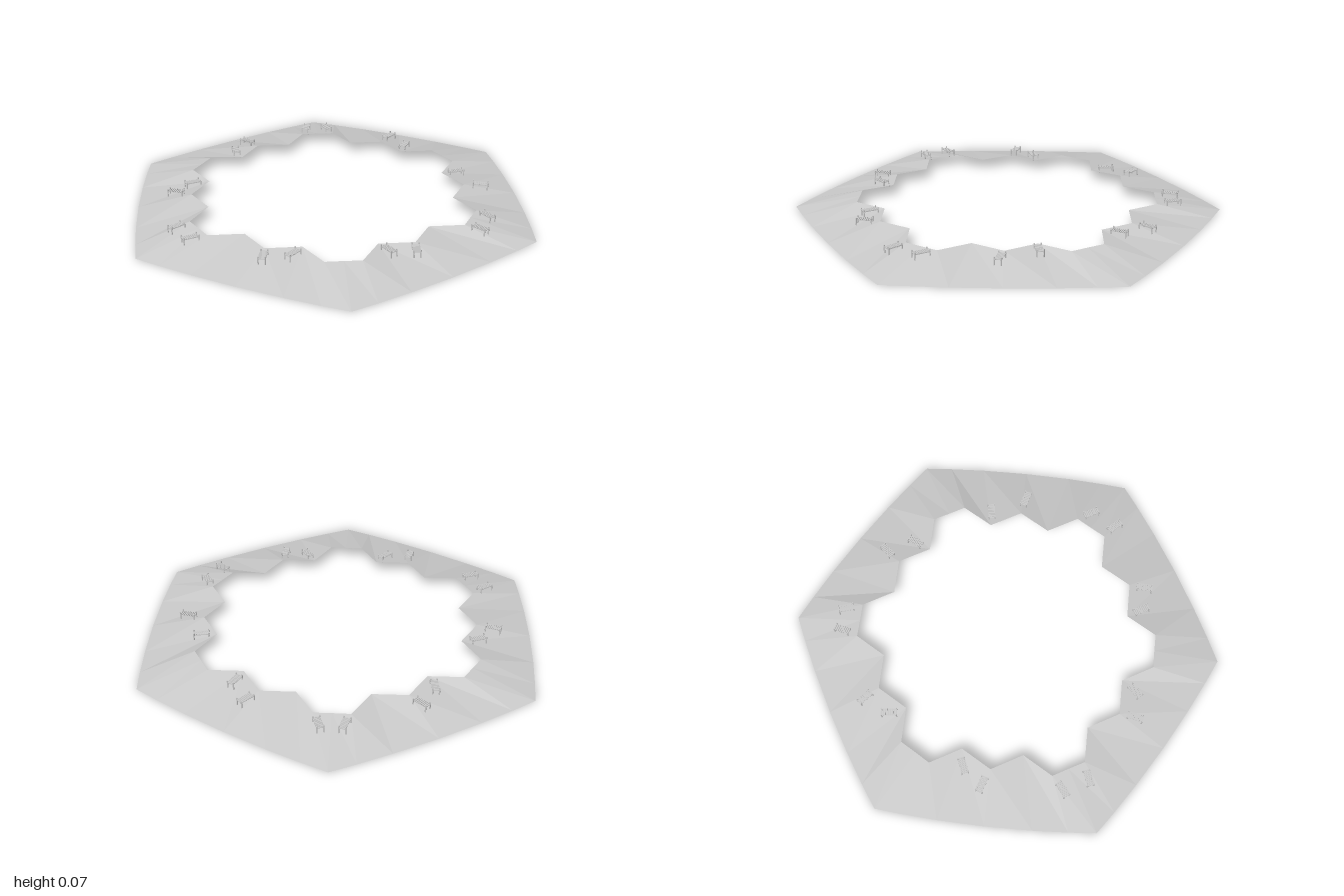
import * as THREE from 'three';

const STEP = 0.139, SIDE = 0.161, TOP = 0.055;
const material = new THREE.MeshStandardMaterial({ color: 0xcccccc, flatShading: true, side: THREE.DoubleSide });

// Bulged outer hexagon: point on one 60 degree side, t from 0 to 1
function outerPoint(side, t) {
  const a = side * Math.PI / 3, b = a + Math.PI / 3, m = (a + b) / 2;
  const bulge = 0.1 * t * (1 - t);
  return [
    Math.cos(a) * (1 - t) + Math.cos(b) * t + Math.cos(m) * bulge,
    Math.sin(a) * (1 - t) + Math.sin(b) * t + Math.sin(m) * bulge,
  ];
}

// Sloping ring: zigzag inner edge on top, curved hexagon at ground level
function createFrame() {
  // One sixth of the inner edge, in steps of the honeycomb cell
  const sixth = [[5, 0], [5, 0.5], [4, 1], [4, 2], [3, 2.5], [3, 3.5]]
    .map(([x, z]) => [x * STEP, z * SIDE]);
  const inner = [], outer = [];
  for (let side = 0; side < 6; side++) {
    const c = Math.cos(side * Math.PI / 3), s = Math.sin(side * Math.PI / 3);
    for (const [x, z] of sixth) {
      inner.push([x * c - z * s, x * s + z * c]);
      const local = Math.atan2(z, x) - Math.PI / 6;
      outer.push(outerPoint(side, 0.5 + Math.tan(local) * Math.sqrt(3) / 2));
    }
  }
  const positions = [];
  const n = inner.length;
  for (let i = 0; i < n; i++) {
    const j = (i + 1) % n;
    const a = [inner[i][0], TOP, inner[i][1]], b = [inner[j][0], TOP, inner[j][1]];
    const c = [outer[i][0], 0, outer[i][1]], d = [outer[j][0], 0, outer[j][1]];
    positions.push(...a, ...b, ...c, ...b, ...d, ...c);
  }
  const geometry = new THREE.BufferGeometry();
  geometry.setAttribute('position', new THREE.Float32BufferAttribute(positions, 3));
  geometry.computeVertexNormals();
  const mesh = new THREE.Mesh(geometry, material);
  mesh.name = 'slopingFrame';
  return mesh;
}

function addBox(group, name, size, position) {
  const mesh = new THREE.Mesh(new THREE.BoxGeometry(...size), material);
  mesh.position.set(...position);
  mesh.name = name;
  group.add(mesh);
}

// Small pier running along local x
function createPier() {
  const pier = new THREE.Group();
  for (let i = 0; i < 9; i++) {
    addBox(pier, 'plank', [0.006, 0.003, 0.034], [(i - 4) * 0.0085, 0.064, 0]);
  }
  for (const z of [-0.012, 0.012]) {
    addBox(pier, 'beam', [0.072, 0.003, 0.003], [0, 0.061, z]);
    for (const x of [-0.034, 0.034]) {
      const post = new THREE.Mesh(new THREE.CylinderGeometry(0.0032, 0.0032, 0.036, 8), material);
      post.position.set(x, 0.055, z * 1.25);
      post.name = 'post';
      pier.add(post);
    }
  }
  return pier;
}

export function createModel() {
  const model = new THREE.Group();
  model.name = 'boardFrame';
  model.add(createFrame());

  // Piers: x, z, then the heading as dx, dz
  const piers = [
    [-0.128, -0.642, 6, -14], [-0.016, -0.717, 5, 14],
    [0.337, -0.695, 12, -12], [0.43, -0.64, 3, -14],
    [0.63, -0.352, 14, -4], [0.62, -0.21, 12, -8],
    [0.62, 0.193, 13, 5], [0.615, 0.374, 10, 10],
    [0.417, 0.636, 0, 14], [0.305, 0.711, 3, 14],
    [-0.043, 0.7, 8, -12], [-0.139, 0.636, 0, 14],
    [-0.487, 0.433, 14, -4], [-0.6, 0.38, 9, -10],
    [-0.77, 0.064, 14, 2], [-0.77, -0.064, 14, -2],
    [-0.492, -0.428, 14, 2], [-0.604, -0.385, 10, 11],
  ];
  piers.forEach(([x, z, dx, dz], i) => {
    const pier = createPier();
    pier.name = `pier${i + 1}`;
    pier.position.set(x, 0, z);
    pier.rotation.y = -Math.atan2(dz, dx);
    model.add(pier);
  });
  return model;
}
